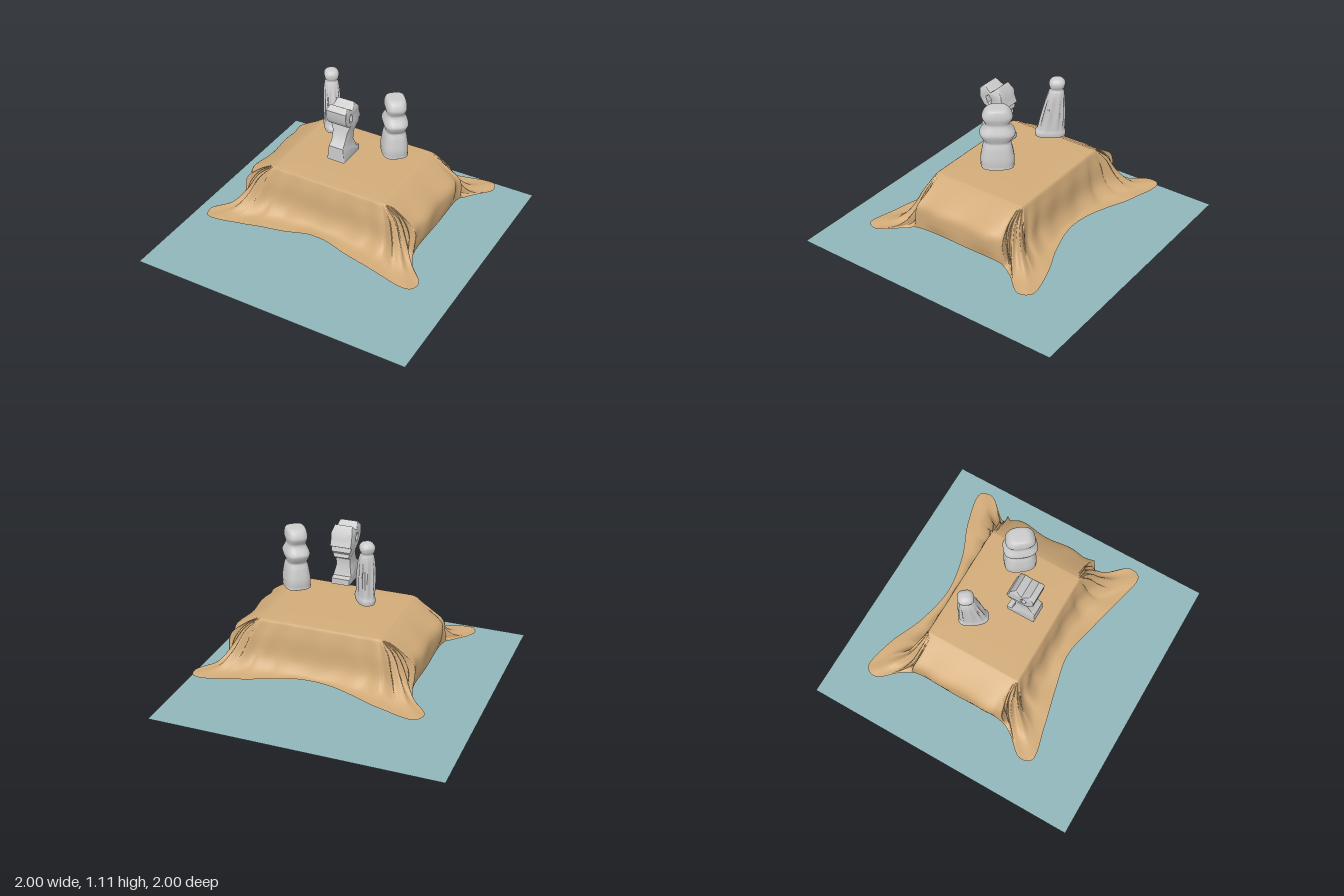
import * as THREE from 'three';
import { toCreasedNormals } from 'three/addons/utils/BufferGeometryUtils.js';

const V = (x, y, z) => new THREE.Vector3(x, y, z);
const stone = new THREE.MeshStandardMaterial({ color: 0xcccccc, side: THREE.DoubleSide });
const clothMat = new THREE.MeshStandardMaterial({ color: 0xd2ab79, side: THREE.DoubleSide });
const floorMat = new THREE.MeshStandardMaterial({ color: 0x90b5ba, side: THREE.DoubleSide });

function part(name, geometry, material) {
  const mesh = new THREE.Mesh(geometry, material);
  mesh.name = name;
  return mesh;
}

// Skin over closed rings, ordered top to bottom, each running front -> +x -> back
function loft(rings) {
  const n = rings[0].length, pos = [], idx = [];
  rings.forEach(r => r.forEach(p => pos.push(p.x, p.y, p.z)));
  for (let j = 0; j < rings.length - 1; j++) for (let i = 0; i < n; i++) {
    const a = j * n + i, b = j * n + (i + 1) % n;
    idx.push(a, a + n, b + n, a, b + n, b);
  }
  const g = new THREE.BufferGeometry();
  g.setAttribute('position', new THREE.Float32BufferAttribute(pos, 3));
  g.setIndex(idx);
  g.computeVertexNormals();
  return g;
}

// Carved figure from sections [y, half width, half depth, depth offset], top to bottom
function carved(name, sections, power, ripple, x, z, turn) {
  const size = new THREE.CatmullRomCurve3(sections.map(s => V(s[1], s[0], s[2])), false, 'catmullrom', 0.4);
  const shift = new THREE.CatmullRomCurve3(sections.map(s => V(s[3], 0, 0)), false, 'catmullrom', 0.4);
  const rings = [], steps = (sections.length - 1) * 4, sides = 72;
  const pow = c => Math.sign(c) * Math.abs(c) ** (2 / power);
  for (let j = 0; j <= steps; j++) {
    const s = size.getPoint(j / steps), off = shift.getPoint(j / steps).x, ring = [];
    for (let i = 0; i < sides; i++) {
      const a = i / sides * Math.PI * 2, k = 1 + ripple(a, s.y);
      ring.push(V(pow(Math.sin(a)) * Math.max(s.x, 0) * k, s.y, off + pow(Math.cos(a)) * Math.max(s.z, 0) * k));
    }
    rings.push(ring);
  }
  const mesh = part(name, toCreasedNormals(loft(rings), 0.9), stone);
  mesh.position.set(x, 0, z);
  mesh.rotation.y = turn;
  return mesh;
}

// Cloth: fall lines of one quarter, from front middle round to side middle
const FALLS = [
  [[0, .55, .345], [0, .45, .368], [0, .30, .385], [0, .23, .43], [0, .225, .50]],
  [[.25, .55, .345], [.26, .45, .368], [.28, .30, .39], [.28, .225, .45], [.27, .212, .55]],
  [[.40, .55, .345], [.43, .44, .375], [.46, .30, .41], [.48, .225, .49], [.52, .212, .61]],
  [[.42, .55, .342], [.49, .46, .38], [.55, .32, .44], [.62, .23, .53], [.76, .212, .65]],
  [[.423, .55, .338], [.52, .46, .35], [.59, .33, .385], [.67, .235, .45], [.79, .212, .57]],
  [[.425, .55, .33], [.53, .47, .325], [.59, .37, .345], [.61, .25, .38], [.67, .213, .42]],
  [[.425, .55, .31], [.55, .47, .315], [.63, .40, .325], [.64, .30, .335], [.635, .23, .33]],
  [[.425, .55, 0], [.55, .475, 0], [.628, .405, 0], [.64, .32, 0], [.635, .235, 0]],
];

function cloth() {
  const cx = 0.04, cz = -0.07;
  const quarter = (sx, sz) => FALLS.map((fall, i) => fall.map(([x, y, z], j) =>
    V(cx + sx * x, y, cz + sz * (sz < 0 && i < 2 && j === 4 ? z - .04 : z))));
  const [fr, br, bl, fl] = [[1, 1], [1, -1], [-1, -1], [-1, 1]].map(q => quarter(...q));
  const falls = [...fr, ...br.reverse().slice(1), ...bl.slice(1), ...fl.reverse().slice(1, -1)];
  const n = falls.length * 8;
  const levels = FALLS[0].map((_, j) => {
    const c = new THREE.CatmullRomCurve3(falls.map(f => f[j]), true, 'centripetal');
    return Array.from({ length: n }, (_, i) => c.getPoint(i / n));
  });
  // Flat top with a slightly rounded rim
  const centre = V(cx, .55, cz);
  const rings = [0, .5, .975].map(k => levels[0].map(p => centre.clone().lerp(p, k)));
  const down = 20, columns = levels[0].map((_, i) =>
    new THREE.CatmullRomCurve3(levels.map(l => l[i]), false, 'centripetal'));
  for (let j = 0; j <= down; j++) {
    const t = j / down;
    rings.push(columns.map((c, i) => {
      const p = c.getPoint(t);
      if (j === 0) p.y -= .006;
      // Drapery wrinkles, strongest at the four corners
      const corner = Math.min(1, Math.abs((p.x - cx) * (p.z - cz)) / .2) ** 2;
      const w = Math.sin(Math.PI * t) * (.004 + .016 * corner) * Math.sin(i * .95 + 2 * t);
      const out = V(p.x - cx, 0, p.z - cz).normalize();
      p.addScaledVector(out, w);
      p.y = Math.max(.211, p.y + .003 * t * Math.sin(i * .6));
      return p;
    }));
  }
  return part('drapedCloth', loft(rings), clothMat);
}

// Head statue: side outline (z, y) with a gap behind the neck, widened by height
function headStatue() {
  const outline = [[.18, .685], [.18, .79], [.15, .82], [.125, .88], [.115, .93], [.15, .95], [.175, .99],
    [.18, 1.055], [.145, 1.085], [.09, 1.045], [.045, 1.085], [.005, 1.04], [0, 1.0], [-.02, .955],
    [0, .945], [-.008, .915], [.002, .9], [-.005, .875], [.03, .855], [.035, .8], [.015, .735],
    [-.02, .725], [-.02, .685]];
  const shape = new THREE.Shape(outline.map(p => new THREE.Vector2(...p)));
  shape.holes.push(new THREE.Path([[.09, .96], [.087, 1.0], [.105, 1.025], [.125, 1.01], [.115, .965]]
    .map(p => new THREE.Vector2(...p))));
  const g = new THREE.ExtrudeGeometry(shape, { depth: .9, steps: 4, bevelThickness: .05, bevelSize: .005, bevelOffset: -.005, bevelSegments: 2 });
  g.translate(0, 0, -.45).rotateY(-Math.PI / 2);
  const widths = [[.685, .13], [.75, .13], [.8, .10], [.87, .10], [.93, .145], [1.045, .15], [1.09, .12]];
  const p = g.attributes.position;
  for (let i = 0; i < p.count; i++) {
    const y = p.getY(i);
    let k = widths.findIndex(w => w[0] >= y);
    if (k < 1) k = y < .7 ? 1 : widths.length - 1;
    const [a, b] = [widths[k - 1], widths[k]];
    const t = THREE.MathUtils.clamp((y - a[0]) / (b[0] - a[0]), 0, 1);
    p.setX(i, p.getX(i) * THREE.MathUtils.lerp(a[1], b[1], t));
  }
  const mesh = part('headStatue', toCreasedNormals(g, 0.7), stone);
  mesh.position.x = .047;
  return mesh;
}

export function createModel() {
  const model = new THREE.Group();
  model.name = 'statueDisplay';

  const floor = part('floor', new THREE.PlaneGeometry(2, 2), floorMat);
  floor.rotation.x = -Math.PI / 2;
  model.add(floor, cloth(), headStatue());

  // Robed figure with hanging folds
  const folds = (a, y) => y > .72 && y < 1.02 ? .09 * Math.sin(a * 11) * Math.sin((y - .72) / .3 * Math.PI) : 0;
  model.add(carved('robedFigure', [
    [1.112, 0, 0, -.04], [1.103, .032, .034, -.04], [1.08, .049, .052, -.04], [1.05, .046, .05, -.038],
    [1.033, .038, .042, -.038], [1.01, .046, .05, -.036], [.96, .052, .06, -.03], [.85, .054, .075, -.017],
    [.74, .054, .09, -.004], [.715, .058, .101, 0], [.69, .057, .1, 0], [.685, .05, .09, 0], [.685, 0, 0, 0],
  ], 2.6, folds, -.185, -.175, .64));

  // Seated figure with rounded tiers
  model.add(carved('tieredFigure', [
    [1.102, 0, 0, 0], [1.1, .055, .052, 0], [1.08, .082, .065, 0], [1.04, .098, .07, 0], [.995, .076, .06, 0],
    [.97, .085, .068, 0], [.93, .113, .082, 0], [.895, .1, .074, 0], [.865, .08, .064, 0], [.83, .092, .074, 0],
    [.75, .108, .085, 0], [.70, .106, .084, 0], [.687, .1, .08, 0], [.687, 0, 0, 0],
  ], 3, () => 0, .32, -.115, -.9));

  return model;
}
